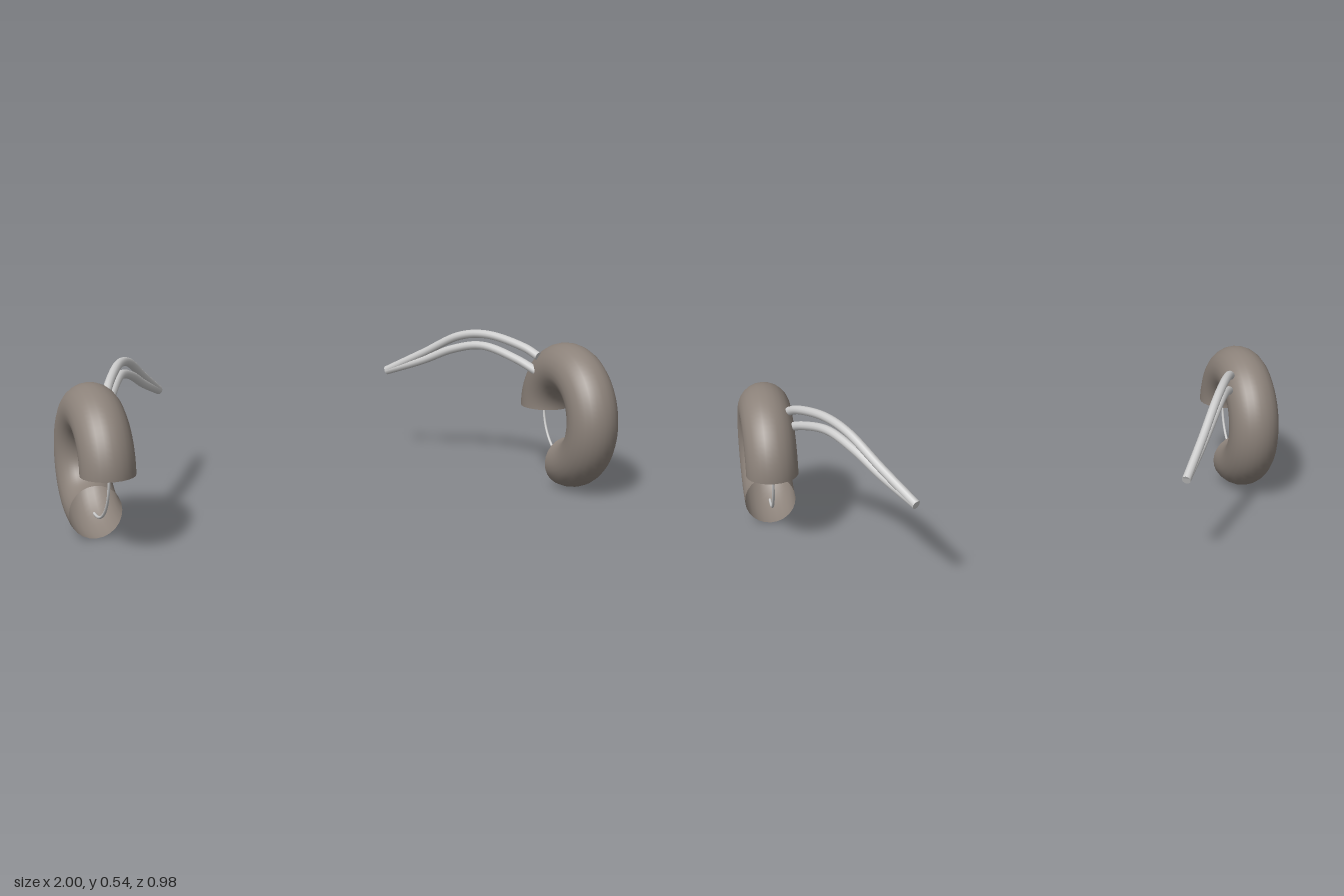
import * as THREE from 'three';

const RING = { x: 0.907, y: 0.272, z: 0.216, radius: 0.177, tube: 0.093 };

const grey = new THREE.MeshStandardMaterial({ color: 0xcccccc, side: THREE.DoubleSide });
const brown = new THREE.MeshStandardMaterial({ color: 0x8c827a, side: THREE.DoubleSide });

function add(parent, name, geometry, material) {
  const mesh = new THREE.Mesh(geometry, material);
  mesh.name = name;
  parent.add(mesh);
  return mesh;
}

// Bent round bar with closed ends; points are for the left side, mirrored by side
function addBar(parent, name, points, side) {
  const radius = 0.016;
  const curve = new THREE.CatmullRomCurve3(points.map(([x, y, z]) => new THREE.Vector3(side * x, y, z)));
  add(parent, name, new THREE.TubeGeometry(curve, 40, radius, 12), grey);
  for (const t of [0, 1]) {
    const cap = add(parent, name + 'End', new THREE.CircleGeometry(radius, 12), grey);
    cap.position.copy(curve.getPoint(t));
    cap.lookAt(cap.position.clone().addScaledVector(curve.getTangent(t), t ? 1 : -1));
  }
}

export function createModel() {
  const model = new THREE.Group();
  model.name = 'ringPair';

  for (const side of [1, -1]) {
    const label = side > 0 ? 'left' : 'right';

    // Hollow three-quarter ring; the open quarter faces back on the left, front on the right
    const ring = new THREE.Group();
    ring.name = label + 'Ring';
    ring.position.set(side * RING.x, RING.y, RING.z);
    ring.rotation.y = side * Math.PI / 2;
    add(ring, label + 'RingShell',
      new THREE.TorusGeometry(RING.radius, RING.tube, 24, 54, Math.PI * 1.5), brown);

    // Thin wire bridging the open quarter
    const overlap = 0.12;
    const wire = new THREE.TorusGeometry(0.188, 0.005, 8, 28, Math.PI / 2 + 2 * overlap);
    wire.rotateZ(Math.PI * 1.5 - overlap);
    add(ring, label + 'RingWire', wire, grey);
    model.add(ring);

    // Two arched bars that meet at their rear tips
    const arm = new THREE.Group();
    arm.name = label + 'Arm';
    addBar(arm, label + 'UpperBar', [
      [0.83, 0.48, 0.11], [0.805, 0.503, 0.057], [0.725, 0.531, -0.105],
      [0.66, 0.51, -0.216], [0.57, 0.425, -0.346], [0.473, 0.337, -0.48],
    ], side);
    addBar(arm, label + 'LowerBar', [
      [0.83, 0.42, 0.11], [0.787, 0.455, 0.02], [0.715, 0.485, -0.125],
      [0.645, 0.455, -0.24], [0.57, 0.397, -0.346], [0.473, 0.335, -0.48],
    ], side);
    model.add(arm);
  }
  return model;
}
